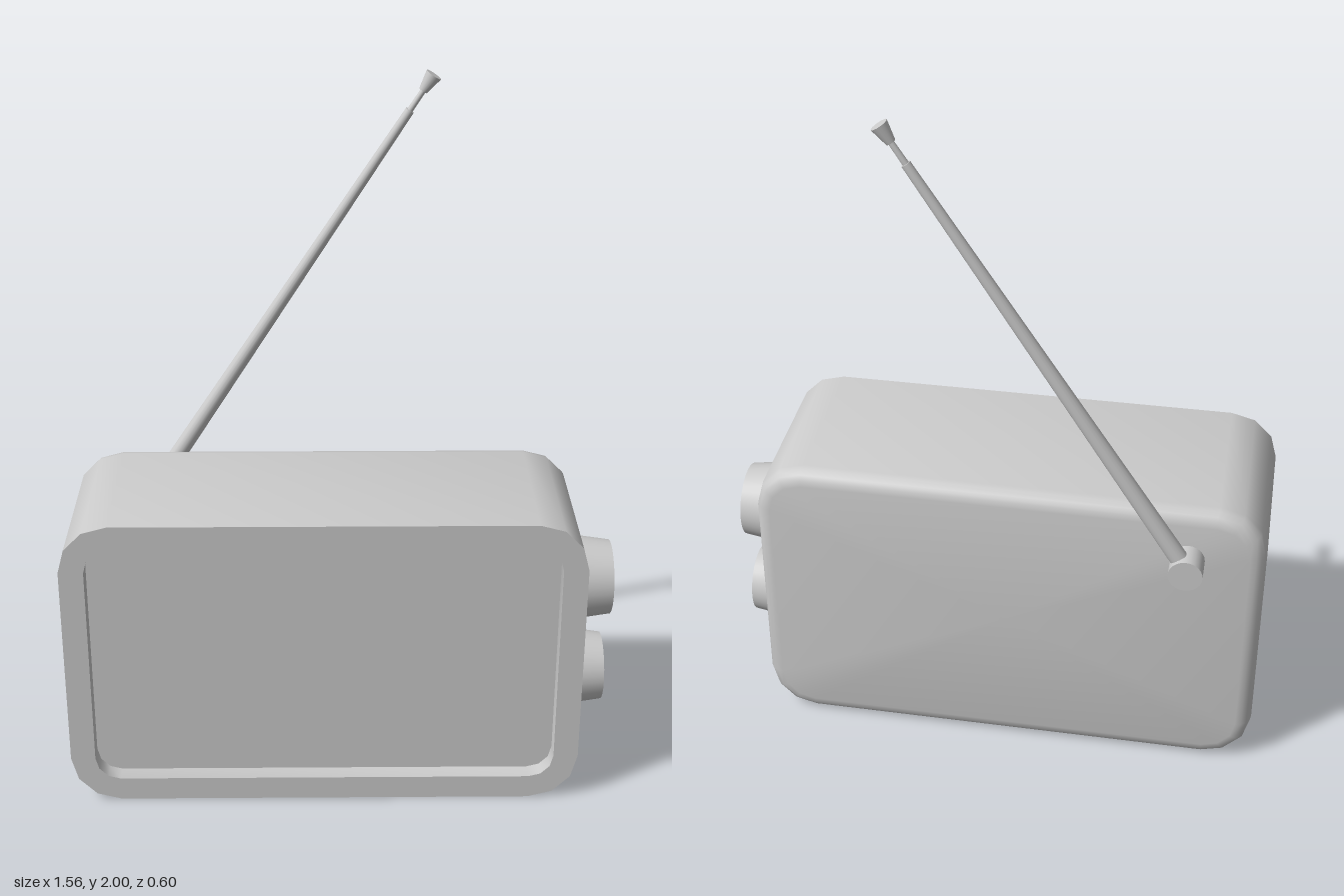
import * as THREE from 'three';
import { toCreasedNormals } from 'three/addons/utils/BufferGeometryUtils.js';

const material = new THREE.MeshStandardMaterial({ color: 0xcccccc });
const BODY = { x: -0.05, y: 0.4425, halfW: 0.73, halfH: 0.4425, radius: 0.14, steps: 3 };

function addMesh(group, name, geometry) {
  const mesh = new THREE.Mesh(geometry, material);
  mesh.name = name;
  group.add(mesh);
  return mesh;
}

// Rounded rectangle of the body, shrunk by inset, counter-clockwise from the front
function outline(inset, z) {
  const { x, y, halfW, halfH, radius, steps } = BODY;
  const points = [];
  [[1, 1], [-1, 1], [-1, -1], [1, -1]].forEach(([sx, sy], corner) => {
    for (let i = 0; i <= steps; i++) {
      const a = (corner + i / steps) * Math.PI / 2;
      const r = radius - inset;
      points.push([
        x + sx * (halfW - radius) + r * Math.cos(a),
        y + sy * (halfH - radius) + r * Math.sin(a),
        z,
      ]);
    }
  });
  return points;
}

// Housing skin: recessed screen, front rim, sides, rounded back edge
function housingGeometry() {
  const sections = [[0.07, 0.25], [0.07, 0.3], [0, 0.3]];
  const bevel = 0.045;
  for (let i = 0; i <= 4; i++) {
    const a = (i / 4) * Math.PI / 2;
    sections.push([bevel * (1 - Math.cos(a)), -0.18 - bevel * Math.sin(a)]);
  }
  const loops = sections.map(([inset, z]) => outline(inset, z));
  const n = loops[0].length;
  const positions = [];
  const tri = (a, b, c) => positions.push(...a, ...b, ...c);
  const front = [BODY.x, BODY.y, sections[0][1]];
  const back = [BODY.x, BODY.y, sections[sections.length - 1][1]];
  for (let i = 0; i < n; i++) {
    const j = (i + 1) % n;
    tri(front, loops[0][i], loops[0][j]);
    for (let k = 0; k < loops.length - 1; k++) {
      const p = loops[k], q = loops[k + 1];
      tri(p[i], q[i], q[j]);
      tri(p[i], q[j], p[j]);
    }
    const last = loops[loops.length - 1];
    tri(back, last[j], last[i]);
  }
  const geometry = new THREE.BufferGeometry();
  geometry.setAttribute('position', new THREE.Float32BufferAttribute(positions, 3));
  return toCreasedNormals(geometry, 0.65);
}

export function createModel() {
  const radio = new THREE.Group();
  radio.name = 'radio';

  addMesh(radio, 'housing', housingGeometry());

  // Tapered side knobs
  [
    ['upperKnob', 0.585, 0.122, 0.108, 0.1],
    ['lowerKnob', 0.285, 0.112, 0.099, 0.09],
  ].forEach(([name, y, base, tip, length]) => {
    const knob = addMesh(radio, name, new THREE.CylinderGeometry(tip, base, length, 32));
    knob.rotation.z = -Math.PI / 2;
    knob.position.set(0.68 + length / 2, y, 0.038);
  });

  // Pivot on the back that carries the antenna
  const pivot = addMesh(radio, 'antennaPivot', new THREE.CylinderGeometry(0.048, 0.048, 0.08, 24));
  pivot.rotation.x = Math.PI / 2;
  pivot.position.set(-0.563, 0.728, -0.263);

  // Antenna: tapered rod, thin neck and flared tip
  const antenna = new THREE.Group();
  antenna.name = 'antenna';
  antenna.position.set(-0.543, 0.757, -0.265);
  antenna.rotation.z = -0.577;
  radio.add(antenna);
  [
    ['antennaRod', 0.026, 0.013, 0, 1.35],
    ['antennaNeck', 0.009, 0.008, 1.34, 1.425],
    ['antennaTip', 0.013, 0.024, 1.415, 1.468],
  ].forEach(([name, bottom, top, from, to]) => {
    const part = addMesh(antenna, name, new THREE.CylinderGeometry(top, bottom, to - from, 16));
    part.position.y = (from + to) / 2;
  });

  return radio;
}
